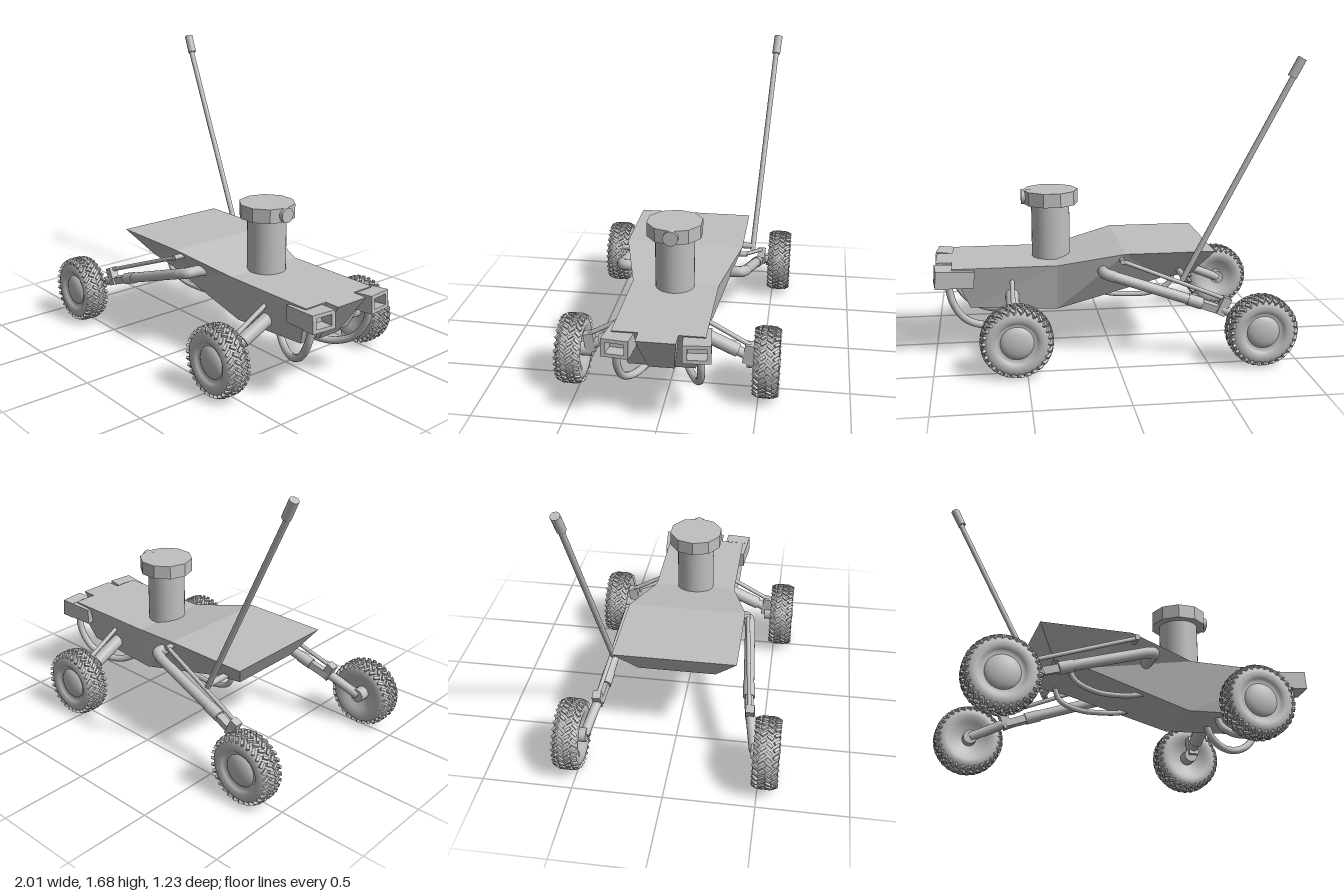
import * as THREE from 'three';
import { mergeGeometries } from 'three/addons/utils/BufferGeometryUtils.js';

const grey = new THREE.MeshStandardMaterial({ color: 0xc0c0c0 });
grey.name = 'grey';
const V = (x, y, z) => new THREE.Vector3(x, y, z);

function part(parent, name, geometry) {
  const mesh = new THREE.Mesh(geometry, grey);
  mesh.name = name;
  parent.add(mesh);
  return mesh;
}

// straight bar between two points; few sides give a boxy bar
function rod(parent, name, a, b, r, sides = 16, r2 = r) {
  const geo = new THREE.CylinderGeometry(r2, r, a.distanceTo(b), sides);
  if (sides === 4) geo.rotateY(Math.PI / 4);
  const mesh = part(parent, name, sides === 4 ? flat(geo) : geo);
  mesh.position.copy(a).lerp(b, 0.5);
  mesh.quaternion.setFromUnitVectors(V(0, 1, 0), b.clone().sub(a).normalize());
  return mesh;
}

function flat(geo) {
  const g = geo.toNonIndexed();
  g.computeVertexNormals();
  return g;
}

function tube(parent, name, points, r) {
  const curve = new THREE.CatmullRomCurve3(points);
  return part(parent, name, new THREE.TubeGeometry(curve, 32, r, 12));
}

// flat-faced loft; a section is [topX, topY, topHalf, bottomX, bottomY, bottomHalf]
function loft(sections) {
  const rings = sections.map(([tx, ty, tw, bx, by, bw]) =>
    [V(tx, ty, tw), V(tx, ty, -tw), V(bx, by, -bw), V(bx, by, bw)]);
  const pts = [];
  const quad = (a, b, c, d) => pts.push(a, b, c, a, c, d);
  for (let i = 0; i + 1 < rings.length; i++) {
    const A = rings[i], B = rings[i + 1];
    for (let j = 0; j < 4; j++) quad(A[j], B[j], B[(j + 1) % 4], A[(j + 1) % 4]);
  }
  quad(...rings[0]);
  quad(...[...rings[rings.length - 1]].reverse());
  const g = new THREE.BufferGeometry().setFromPoints(pts);
  g.computeVertexNormals();
  return g;
}

// knobbly tyre, axis along y with the outer face at +y
const tyreProfile = [
  [0, -0.02], [0.05, -0.025], [0.1, -0.055], [0.13, -0.068], [0.155, -0.068], [0.176, -0.056],
  [0.184, -0.03], [0.186, 0], [0.184, 0.03], [0.176, 0.056], [0.155, 0.068], [0.13, 0.068],
  [0.112, 0.06], [0.1, 0.045], [0, 0.045],
].map(([r, y]) => new THREE.Vector2(r, y));

function treadGeometry() {
  const blocks = [], count = 30;
  for (let i = 0; i < count; i++) {
    for (let row = 0; row < 4; row++) {
      const y = (row - 1.5) * 0.035, outer = row === 0 || row === 3;
      const block = new THREE.BoxGeometry(0.016, 0.034, 0.019);
      block.rotateZ((row % 2 ? 1 : -1) * 0.65);
      if (outer) block.rotateX(row ? -0.45 : 0.45);
      block.translate(0, y, outer ? 0.18 : 0.187);
      block.rotateY(((i + (row % 2) * 0.5) / count) * Math.PI * 2);
      blocks.push(block);
    }
  }
  return mergeGeometries(blocks);
}
const tread = treadGeometry();

function wheel(parent, name, x, s) {
  const g = new THREE.Group();
  g.name = name;
  part(g, 'tyre', new THREE.LatheGeometry(tyreProfile, 48));
  part(g, 'tread', tread);
  const hub = part(g, 'hubDome', new THREE.SphereGeometry(0.094, 32, 10, 0, Math.PI * 2, 0, Math.PI / 2));
  hub.scale.y = 0.4;
  hub.position.y = 0.035;
  g.position.set(x, 0.2, s * 0.54);
  g.rotation.x = s * Math.PI / 2;
  parent.add(g);
}

// square lamp housing with a recessed face, opening towards +x
function headlight(parent, s) {
  const rect = (T, w, h) => {
    const p = new T();
    p.moveTo(-w, -h); p.lineTo(w, -h); p.lineTo(w, h); p.lineTo(-w, h); p.closePath();
    return p;
  };
  const outline = rect(THREE.Shape, 0.073, 0.05);
  outline.holes.push(rect(THREE.Path, 0.05, 0.03));
  const g = new THREE.Group();
  g.name = s > 0 ? 'leftHeadlight' : 'rightHeadlight';
  const frame = new THREE.ExtrudeGeometry(outline, { depth: 0.08, bevelEnabled: false });
  part(g, 'lampFrame', frame.rotateY(Math.PI / 2)).position.x = 0.02;
  part(g, 'lampBody', new THREE.BoxGeometry(0.135, 0.094, 0.146)).position.set(-0.047, 0.002, 0);
  g.position.set(0.895, 0.463, s * 0.2);
  g.rotation.set(0, -s * 0.1, 0.06);
  parent.add(g);
}

function buildSide(parent, s) {
  const P = (x, y, z) => V(x, y, s * z);
  const side = new THREE.Group();
  side.name = s > 0 ? 'leftRunningGear' : 'rightRunningGear';
  parent.add(side);

  wheel(side, 'frontWheel', 0.555, s);
  wheel(side, 'rearWheel', -0.785, s);
  headlight(side, s);

  // long trailing arm to the rear wheel
  tube(side, 'rearArmPivot', [P(0.05, 0.48, 0.22), P(0.06, 0.495, 0.3), P(0.055, 0.495, 0.35), P(0, 0.48, 0.372)], 0.032);
  rod(side, 'rearArm', P(0.01, 0.483, 0.371), P(-0.47, 0.325, 0.41), 0.03);
  rod(side, 'rearArmSleeve', P(-0.4, 0.347, 0.405), P(-0.48, 0.32, 0.412), 0.034);
  rod(side, 'rearArmEnd', P(-0.46, 0.325, 0.41), P(-0.59, 0.28, 0.425), 0.03, 4);
  rod(side, 'rearClevis', P(-0.575, 0.26, 0.43), P(-0.62, 0.355, 0.43), 0.034, 4);
  rod(side, 'rearStub', P(-0.59, 0.29, 0.43), P(-0.785, 0.2, 0.47), 0.027);
  rod(side, 'rearAxle', P(-0.785, 0.2, 0.455), P(-0.785, 0.2, 0.54), 0.04);
  rod(side, 'rearLink', P(-0.04, 0.565, 0.36), P(-0.61, 0.345, 0.425), 0.012);
  rod(side, 'rearLinkMount', P(-0.04, 0.565, 0.25), P(-0.04, 0.565, 0.375), 0.015);

  // front suspension
  rod(side, 'frontArm', P(0.565, 0.37, 0.15), P(0.565, 0.265, 0.38), 0.038);
  rod(side, 'frontArmEnd', P(0.565, 0.275, 0.36), P(0.565, 0.225, 0.46), 0.028);
  rod(side, 'frontKnuckle', P(0.565, 0.2, 0.435), P(0.565, 0.31, 0.45), 0.04, 4);
  rod(side, 'frontAxle', P(0.555, 0.2, 0.43), P(0.555, 0.2, 0.54), 0.04);
  rod(side, 'frontLink', P(0.565, 0.435, 0.21), P(0.565, 0.3, 0.45), 0.013);

  // curved guard tubes
  tube(side, 'frontGuard', [P(0.92, 0.43, 0.215), P(0.895, 0.32, 0.22), P(0.83, 0.22, 0.205),
    P(0.72, 0.165, 0.165), P(0.61, 0.17, 0.115), P(0.54, 0.22, 0.085), P(0.52, 0.28, 0.08)], 0.021);
  tube(side, 'bellyGuard', [P(-0.37, 0.46, 0.17), P(-0.33, 0.365, 0.17), P(-0.22, 0.317, 0.16),
    P(-0.1, 0.31, 0.15), P(0.02, 0.323, 0.15), P(0.12, 0.36, 0.15)], 0.015);
}

export function createModel() {
  const model = new THREE.Group();
  model.name = 'rover';

  // hull with a narrow prow between the lamps
  part(model, 'hull', loft([
    [-0.565, 0.6, 0.345, -0.46, 0.445, 0.22],
    [-0.06, 0.6, 0.345, -0.28, 0.42, 0.22],
    [0.31, 0.52, 0.245, 0.31, 0.25, 0.19],
    [0.9, 0.52, 0.245, 0.8, 0.275, 0.18],
  ]));
  part(model, 'prow', loft([
    [0.85, 0.52, 0.104, 0.74, 0.27, 0.075],
    [0.99, 0.52, 0.104, 0.825, 0.28, 0.07],
  ]));

  // sensor mast
  part(model, 'mastColumn', new THREE.CylinderGeometry(0.11, 0.11, 0.34, 32)).position.set(0.33, 0.67, 0);
  const cap = new THREE.CylinderGeometry(0.158, 0.158, 0.08, 10).rotateY(Math.PI / 10 * 5);
  part(model, 'mastHead', flat(cap)).position.set(0.33, 0.87, 0);
  rod(model, 'lens', V(0.44, 0.87, 0), V(0.498, 0.87, 0), 0.042, 24);

  // whip antenna on the right side
  rod(model, 'antennaMount', V(-0.38, 0.47, -0.2), V(-0.38, 0.47, -0.39), 0.018);
  rod(model, 'antennaWhip', V(-0.37, 0.45, -0.385), V(-0.945, 1.59, -0.463), 0.016);
  rod(model, 'antennaTip', V(-0.93, 1.575, -0.462), V(-0.98, 1.675, -0.472), 0.025);

  for (const s of [1, -1]) buildSide(model, s);
  return model;
}
